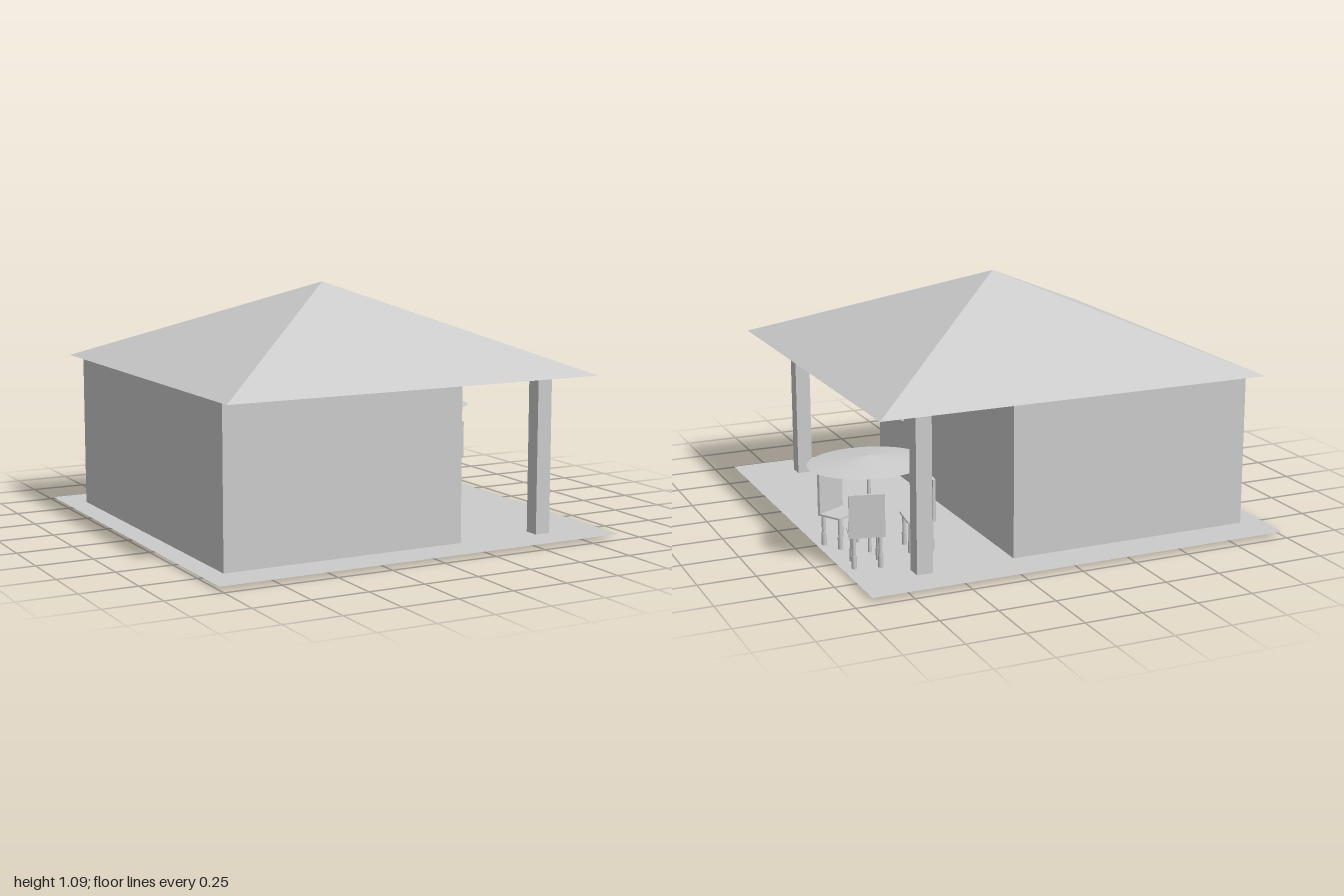
import * as THREE from 'three';

const material = new THREE.MeshStandardMaterial({ color: 0xcccccc });
const flat = new THREE.MeshStandardMaterial({ color: 0xcccccc, flatShading: true });
const thin = new THREE.MeshStandardMaterial({ color: 0xcccccc, side: THREE.DoubleSide });

const FLOOR = 0.015;
const EAVES = 0.71;

function add(parent, name, geometry, x, y, z, mat = material) {
  const mesh = new THREE.Mesh(geometry, mat);
  mesh.name = name;
  mesh.position.set(x, y, z);
  parent.add(mesh);
  return mesh;
}

// Box given by its extents along each axis
function box(parent, name, [x0, x1], [y0, y1], [z0, z1]) {
  const geometry = new THREE.BoxGeometry(x1 - x0, y1 - y0, z1 - z0);
  return add(parent, name, geometry, (x0 + x1) / 2, (y0 + y1) / 2, (z0 + z1) / 2);
}

// Chair with the middle of its backrest at x, z; its back points along the given angle
function createChair(x, z, degrees) {
  const chair = new THREE.Group();
  chair.name = 'chair';
  box(chair, 'chairSeat', [-0.115, 0.006], [0.15, 0.158], [-0.075, 0.075]);
  box(chair, 'chairBack', [-0.006, 0.006], [0.155, 0.335], [-0.075, 0.075]);
  for (const legX of [-0.1, -0.008]) {
    for (const legZ of [-0.055, 0.055]) {
      add(chair, 'chairLeg', new THREE.CylinderGeometry(0.009, 0.009, 0.08, 12), legX, 0.11, legZ);
      add(chair, 'chairFoot', new THREE.CylinderGeometry(0.012, 0.011, 0.055, 12), legX, FLOOR + 0.0275, legZ);
    }
  }
  chair.position.set(x, 0, z);
  chair.rotation.y = -THREE.MathUtils.degToRad(degrees);
  return chair;
}

export function createModel() {
  const model = new THREE.Group();
  model.name = 'pavilion';

  // Thin terrace
  const terrace = new THREE.PlaneGeometry(1.915, 1.92).rotateX(-Math.PI / 2);
  add(model, 'terrace', terrace, -0.0425, FLOOR, 0, thin);

  // Enclosed room with its door
  box(model, 'room', [-0.9, 0.215], [0, EAVES], [-0.78, 0.78]);
  box(model, 'door', [0.2, 0.225], [0.005, 0.575], [0.12, 0.5]);
  add(model, 'doorKnob', new THREE.SphereGeometry(0.02, 20, 14), 0.227, 0.31, 0.45);

  // Porch posts
  for (const side of [-1, 1]) {
    const post = new THREE.BoxGeometry(0.07, EAVES - FLOOR, 0.07);
    add(model, 'post', post, 0.625, (EAVES + FLOOR) / 2, side * 0.765);
  }

  // Pyramid roof
  const roof = new THREE.ConeGeometry(0.886 * Math.SQRT2, 0.38, 4).rotateY(Math.PI / 4);
  add(model, 'roof', roof, -0.042, EAVES + 0.19, 0, flat);

  // Oval parasol
  const parasol = new THREE.Group();
  parasol.name = 'parasol';
  const canopy = new THREE.ConeGeometry(1, 0.032, 48).scale(0.262, 1, 0.23);
  add(parasol, 'canopy', canopy, 0, 0.427, 0);
  add(parasol, 'pole', new THREE.CylinderGeometry(0.008, 0.008, 0.41, 16), 0, FLOOR + 0.205, 0);
  parasol.position.set(0.736, 0, -0.456);
  model.add(parasol);

  // Three chairs around the parasol
  model.add(createChair(0.475, -0.495, 188));
  model.add(createChair(0.84, -0.258, 60));
  model.add(createChair(0.815, -0.64, -75));

  return model;
}
